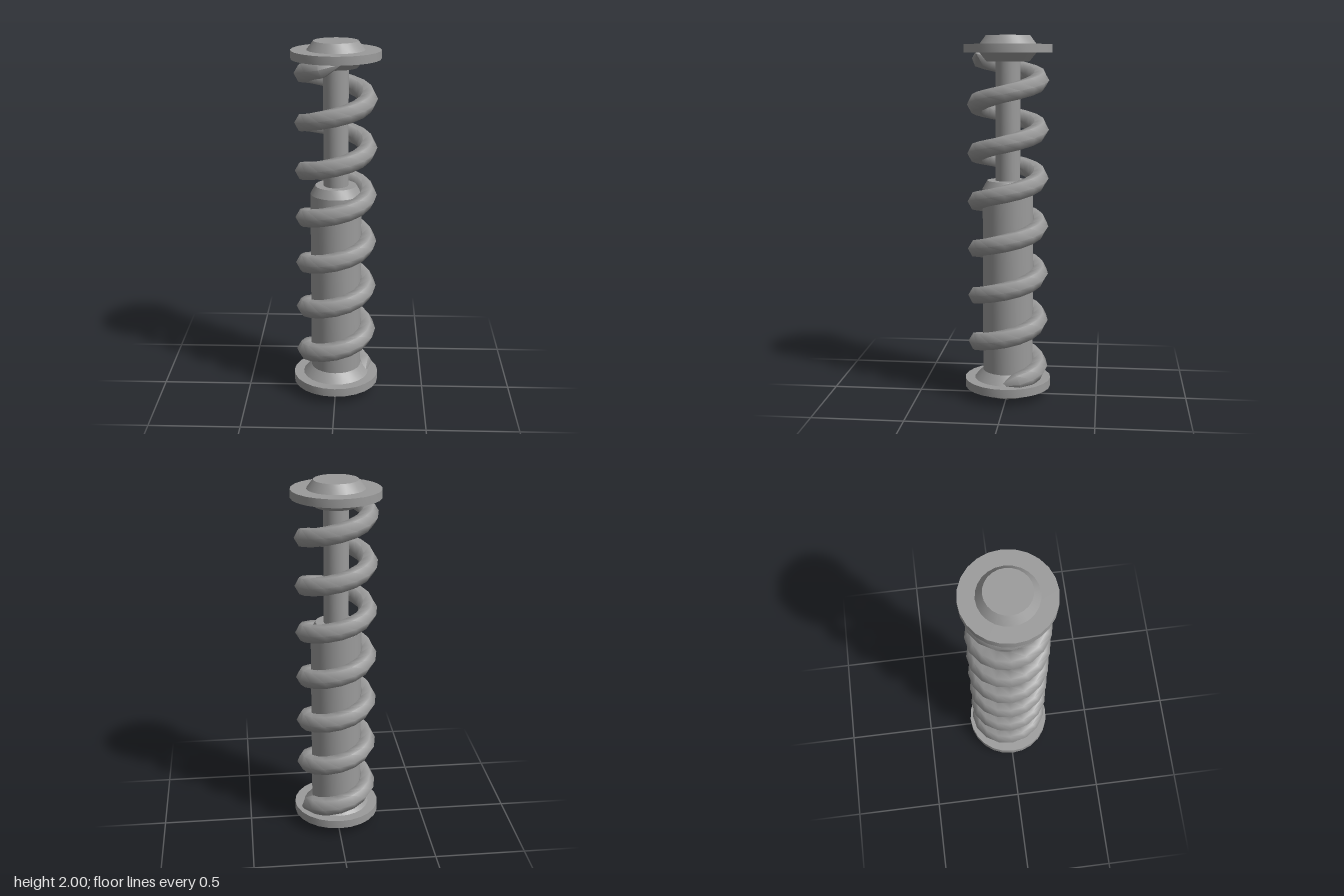
import * as THREE from 'three';
import { toCreasedNormals } from 'three/addons/utils/BufferGeometryUtils.js';
import { ParametricGeometry } from 'three/addons/geometries/ParametricGeometry.js';

const material = new THREE.MeshStandardMaterial({ color: 0x9b9b9b });

function addMesh(parent, name, geometry, crease) {
  const mesh = new THREE.Mesh(toCreasedNormals(geometry, crease), material);
  mesh.name = name;
  parent.add(mesh);
}

// Turned part from [radius, height] pairs, listed bottom to top
function turned(parent, name, profile) {
  const points = profile.map(([r, y]) => new THREE.Vector2(r, y));
  addMesh(parent, name, new THREE.LatheGeometry(points, 24), 0.5);
}

// Six-sided wire wound in a helix; both ends taper into the flanges
function coilGeometry({ radius, wire, pitch, startY, turns, perTurn }) {
  const last = Math.round(turns * perTurn);
  const slope = Math.atan(pitch / (2 * Math.PI * radius));
  return new ParametricGeometry((u, v, target) => {
    const row = Math.round(u * last);
    // Each tip reaches past the end of the winding
    const tip = row === 0 ? -1 : row === last ? 1 : 0;
    const step = row + tip * 0.6;
    const theta = (step / perTurn) * Math.PI * 2;
    const r = tip ? 0 : wire;
    const out = radius + r * Math.cos(v * Math.PI * 2);
    const rise = r * Math.sin(v * Math.PI * 2);
    const along = -rise * Math.sin(slope);
    target.set(
      out * Math.cos(theta) - along * Math.sin(theta),
      startY + (step / perTurn) * pitch + rise * Math.cos(slope),
      -out * Math.sin(theta) - along * Math.cos(theta)
    );
  }, last, 6);
}

export function createModel() {
  const model = new THREE.Group();
  model.name = 'shockAbsorber';

  // Bottom mount: bevelled foot, flange and collar
  turned(model, 'bottomMount', [
    [0, 0], [0.117, 0], [0.155, 0.05], [0.24, 0.05], [0.24, 0.097],
    [0.185, 0.097], [0.14, 0.145], [0, 0.145]
  ]);

  // Damper body with chamfered upper rim
  turned(model, 'damperBody', [
    [0, 0.1], [0.14, 0.1], [0.14, 1.17], [0.113, 1.217], [0, 1.217]
  ]);

  // Piston rod
  turned(model, 'pistonRod', [[0, 1.2], [0.068, 1.2], [0.068, 1.9], [0, 1.9]]);

  // Top mount: bevelled on both sides of the flange
  turned(model, 'topMount', [
    [0, 1.862], [0.117, 1.862], [0.155, 1.908], [0.24, 1.908], [0.24, 1.953],
    [0.155, 1.953], [0.12, 2], [0, 2]
  ]);

  // Coil spring
  addMesh(model, 'spring', coilGeometry({
    radius: 0.172, wire: 0.052, pitch: 0.266, startY: 0.099, turns: 6.75, perTurn: 16
  }), 1.2);

  return model;
}
